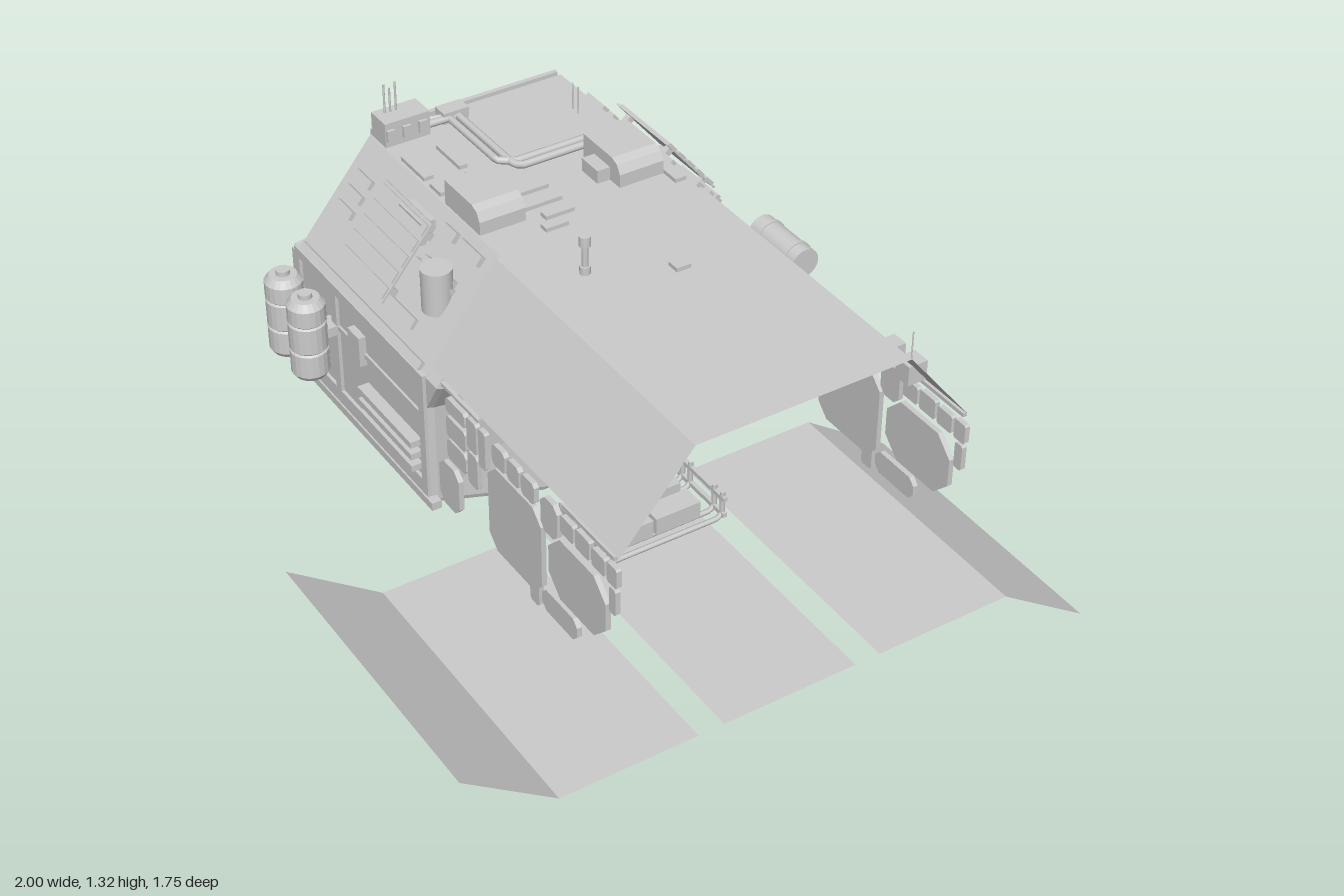
import * as THREE from 'three';

const mat = new THREE.MeshStandardMaterial({ color: 0xcccccc, flatShading: true });
const thin = new THREE.MeshStandardMaterial({ color: 0xcccccc, flatShading: true, side: THREE.DoubleSide });
const smooth = new THREE.MeshStandardMaterial({ color: 0xcccccc });

function add(parent, name, geo, m = mat) {
  const mesh = new THREE.Mesh(geo, m);
  mesh.name = name;
  parent.add(mesh);
  return mesh;
}
// box given by its extents
function box(p, name, x0, x1, y0, y1, z0, z1) {
  const b = add(p, name, new THREE.BoxGeometry(x1 - x0, y1 - y0, z1 - z0));
  b.position.set((x0 + x1) / 2, (y0 + y1) / 2, (z0 + z1) / 2);
  return b;
}
function cyl(p, name, r, h, x, y, z, n = 20) {
  const c = add(p, name, new THREE.CylinderGeometry(r, r, h, n), n > 8 ? smooth : mat);
  c.position.set(x, y, z);
  return c;
}
const shapeOf = pts => new THREE.Shape(pts.map(([x, y]) => new THREE.Vector2(x, y)));
const extrude = (shape, depth) => new THREE.ExtrudeGeometry(shape, { depth, bevelEnabled: false });
// rectangle with cut corners
const cutRect = (x0, x1, y0, y1, c) => [[x0 + c, y0], [x1 - c, y0], [x1, y0 + c], [x1, y1 - c],
  [x1 - c, y1], [x0 + c, y1], [x0, y1 - c], [x0, y0 + c]];
// surface through rings of equal point count
function loft(rings, closed = true) {
  const n = rings[0].length, idx = [];
  for (let r = 0; r < rings.length - 1; r++)
    for (let i = 0; i < (closed ? n : n - 1); i++) {
      const a = r * n + i, b = r * n + (i + 1) % n;
      idx.push(a, b, b + n, a, b + n, a + n);
    }
  const g = new THREE.BufferGeometry();
  g.setAttribute('position', new THREE.Float32BufferAttribute(rings.flat(2), 3));
  g.setIndex(idx);
  const flat = g.toNonIndexed();
  flat.computeVertexNormals();
  return flat;
}
function tube(p, name, pts, r) {
  const path = new THREE.CurvePath();
  const v = pts.map(a => new THREE.Vector3(...a));
  for (let i = 1; i < v.length; i++) path.add(new THREE.LineCurve3(v[i - 1], v[i]));
  return add(p, name, new THREE.TubeGeometry(path, (v.length - 1) * 10, r, 8), smooth);
}

export function createModel() {
  const root = new THREE.Group();
  const group = name => { const g = new THREE.Group(); g.name = name; root.add(g); return g; };

  // Cabin hull with a fan-shaped front bulkhead
  const sec = [[0.2, 0.33], [0.55, 0.44], [0.55, 0.76], [0.55, 0.86], [0.31, 1.15],
    [-0.31, 1.15], [-0.55, 0.86], [-0.55, 0.76], [-0.55, 0.44], [-0.2, 0.33]];
  const ring = (z, s) => sec.map(([x, y], i) => [x * s, 0.67 + (y - 0.67) * s, i === 6 && z > -0.08 ? 0 : z]);
  add(root, 'hull', loft([ring(-0.795, 0), ring(-0.795, 0.97), ring(-0.78, 1), ring(-0.06, 1), ring(-0.055, 0.965), ring(-0.09, 0)]));

  // Folded roof shell ahead of the cabin
  add(root, 'canopy', loft([-1, 1].map(f => [[0.53, 0.885], [0.31, 1.16], [-0.33, 1.16], [-0.53, 0.885]]
    .map(([x, y]) => [x, y, f < 0 ? (y > 1 ? -0.055 : -0.06) : (y > 1 ? 0.875 : 0.855)])), false), thin);

  // Ground plates
  [['leftGroundPlate', [[0.28, 0.2], [0.71, 0.2], [1, 0]]], ['centreGroundPlate', [[-0.22, 0.2], [0.2, 0.2]]],
    ['rightGroundPlate', [[-0.3, 0.2], [-0.72, 0.2], [-1, 0.405]]]].forEach(([name, pts]) =>
    add(root, name, loft([-0.05, 0.875].map(z => pts.map(([x, y]) => [x, y, z])), false), thin));

  // Loose side panels: z0, z1, y0, y1, corner cut
  const panels = [[0.535, 0.805, 0.565, 0.76, 0.055], [0.235, 0.5, 0.5, 0.775, 0.04], [0.5, 0.58, 0.74, 0.85, 0.02],
    [0.5, 0.67, 0.475, 0.545, 0.02], [0.44, 0.485, 0.46, 0.56, 0.008], [-0.03, 0.075, 0.47, 0.615, 0.025],
    [0.405, 0.47, 0.785, 0.85, 0.01], [0.335, 0.395, 0.785, 0.85, 0.01], [0.26, 0.325, 0.785, 0.85, 0.01],
    [0.81, 0.855, 0.79, 0.85, 0.005], [0.82, 0.85, 0.7, 0.78, 0.005], [0.74, 0.8, 0.79, 0.845, 0.005],
    [0.665, 0.73, 0.79, 0.85, 0.005], [0.595, 0.655, 0.79, 0.845, 0.005], [0.19, 0.225, 0.73, 0.85, 0.005],
    [0.13, 0.18, 0.75, 0.85, 0.008], [0.13, 0.18, 0.635, 0.74, 0.008], [0.02, 0.12, 0.8, 0.845, 0.008],
    [0.02, 0.12, 0.72, 0.785, 0.008], [0.02, 0.12, 0.645, 0.71, 0.012]];
  for (const s of [-1, 1]) {
    const g = group(s > 0 ? 'leftSidePanels' : 'rightSidePanels');
    for (const [z0, z1, y0, y1, c] of panels) {
      const m = add(g, 'sidePanel', extrude(shapeOf(cutRect(-z1, -z0, y0, y1, c)), 0.015));
      m.rotation.y = Math.PI / 2;
      m.position.x = s * 0.53 - 0.0075;
    }
    box(g, 'canopyEdgeStrip', s * 0.53 - 0.006, s * 0.53 + 0.006, 0.865, 0.875, -0.05, 0.19);
    box(g, 'canopyEdgeStrip', s * 0.53 - 0.006, s * 0.53 + 0.006, 0.87, 0.882, 0.6, 0.84);
  }

  // Cabin flanks and sloped shoulders, mirrored
  for (const s of [-1, 1]) {
    const g = group(s > 0 ? 'leftFlank' : 'rightFlank');
    g.scale.x = s;
    box(g, 'upperRail', 0.54, 0.56, 0.835, 0.865, -0.795, -0.06);
    box(g, 'lowerRail', 0.54, 0.56, 0.46, 0.505, -0.795, -0.06);
    box(g, 'sill', 0.535, 0.565, 0.435, 0.46, -0.79, -0.03);
    box(g, 'middleRail', 0.54, 0.557, 0.715, 0.73, -0.6, -0.06);
    for (const z of [-0.8, -0.585, -0.09]) box(g, 'post', 0.54, 0.56, 0.5, 0.84, z, z + 0.03);
    box(g, 'latch', 0.54, 0.572, 0.69, 0.785, -0.465, -0.4);

    const slope = new THREE.Group();
    slope.name = 'shoulder';
    slope.position.set(0.31, 1.15, 0);
    slope.rotation.z = Math.atan2(-0.29, 0.24);
    g.add(slope);
    const pad = (t0, t1, z0, z1, h, h0 = -0.005) => box(slope, 'shoulderPad', t0, t1, h0, h, z0, z1);
    // ribbed panel on standoffs
    pad(0.05, 0.305, -0.575, -0.315, 0.042, 0.036);
    for (let i = 0; i < 5; i++) pad(0.06 + i * 0.05, 0.095 + i * 0.05, -0.57, -0.32, 0.048, 0.042);
    for (const z of [-0.55, -0.35]) for (const t of [0.08, 0.26]) pad(t, t + 0.02, z, z + 0.02, 0.04);
    pad(0.03, 0.06, -0.22, -0.11, 0.016);
    pad(0.03, 0.06, -0.31, -0.24, 0.016);
    pad(0.15, 0.165, -0.32, -0.14, 0.025);
    pad(0.13, 0.19, -0.2, -0.15, 0.02);
    pad(0.13, 0.19, -0.3, -0.26, 0.02);
    pad(0.28, 0.31, -0.4, -0.2, 0.012);
    for (const t of [0.09, 0.14, 0.19]) pad(t, t + 0.025, -0.74, -0.65, 0.014);
    pad(0.35, 0.375, -0.77, -0.09, 0.012);
  }

  // Ladder rack on the left side
  const rack = group('sideRack');
  for (const z of [-0.64, -0.735]) box(rack, 'rackUpright', 0.55, 0.58, 0.53, 0.85, z, z + 0.022);
  for (const y of [0.6, 0.67, 0.79]) box(rack, 'rackBar', 0.55, 0.572, y, y + 0.022, -0.75, -0.605);
  box(rack, 'rackCore', 0.55, 0.565, 0.56, 0.82, -0.705, -0.655);

  // Upright canisters on the right side
  for (const z of [-0.72, -0.585]) {
    const prof = [[0, 0.585], [0.045, 0.585], [0.055, 0.6], [0.055, 0.67], [0.05, 0.675], [0.055, 0.68], [0.055, 0.76],
      [0.05, 0.765], [0.055, 0.77], [0.055, 0.82], [0.04, 0.84], [0.02, 0.84], [0.02, 0.855], [0, 0.855]];
    add(root, 'canister', new THREE.LatheGeometry(prof.map(a => new THREE.Vector2(...a)), 20), mat).position.set(-0.635, 0, z);
    box(root, 'canisterClamp', -0.6, -0.54, 0.7, 0.73, z - 0.03, z + 0.03);
  }
  for (const y of [0.53, 0.57, 0.61]) box(root, 'sideStep', -0.585, -0.55, y, y + 0.02, -0.4, -0.1);

  // Roof equipment
  const roof = group('roofEquipment');
  for (const [x0, x1] of [[0.13, 0.27], [-0.305, -0.165]]) {
    const hump = add(roof, 'roofHousing', extrude(shapeOf([[0.18, 1.14], [0.365, 1.14], [0.365, 1.225], [0.22, 1.225],
      [0.195, 1.215], [0.18, 1.19]]), x1 - x0));
    hump.rotation.y = Math.PI / 2;
    hump.position.x = x0;
  }
  box(roof, 'housingFlange', 0.09, 0.14, 1.15, 1.19, -0.31, -0.23);
  for (const d of [0, 0.028])
    tube(roof, 'roofPipe', [[-0.17, 1.165, -0.75 + d], [-0.09 - d + 0.028, 1.165, -0.72], [-0.09 - d + 0.028, 1.165, -0.44 - d + 0.01],
      [-0.05, 1.165, -0.4 - d], [0.2 + d, 1.165, -0.4 - d], [0.215 + d, 1.165, -0.35]], 0.011);
  box(roof, 'pipeJoint', -0.11, -0.03, 1.15, 1.185, -0.765, -0.715);
  box(roof, 'antennaBox', -0.305, -0.165, 1.15, 1.225, -0.775, -0.695);
  for (const x of [-0.29, -0.24, -0.19]) box(roof, 'antennaBoxRib', x - 0.012, x + 0.012, 1.17, 1.205, -0.695, -0.685);
  [[-0.275, 1.315], [-0.258, 1.3], [-0.24, 1.315]].forEach(([x, top]) =>
    cyl(roof, 'antenna', 0.003, top - 1.2, x, (top + 1.2) / 2, -0.75, 6));
  for (const z of [-0.6, -0.57]) cyl(roof, 'antenna', 0.002, 0.09, 0.24, 1.19, z, 6);
  [[-0.3, -0.27, -0.62, -0.49], [-0.19, -0.165, -0.62, -0.49], [-0.3, -0.27, -0.46, -0.4], [-0.19, -0.165, -0.46, -0.4],
    [-0.15, -0.03, -0.32, -0.285], [-0.15, -0.03, -0.25, -0.215], [-0.12, -0.03, -0.18, -0.15], [0.27, 0.305, -0.35, -0.25],
    [0.27, 0.305, -0.23, -0.12], [-0.15, -0.08, -0.13, -0.1], [-0.3, 0.3, -0.795, -0.78], [-0.395, -0.35, -0.46, -0.34]]
    .forEach(([x0, x1, z0, z1]) => box(roof, 'roofPlate', x0, x1, x0 < -0.38 ? 1.06 : 1.14, x0 < -0.38 ? 1.13 : 1.162, z0, z1));
  cyl(roof, 'drum', 0.044, 0.13, -0.44, 1.035, -0.18);

  // Canopy fittings
  const fit = group('canopyFittings');
  cyl(fit, 'sideTank', 0.043, 0.2, 0.425, 1.055, 0.17).rotation.x = Math.PI / 2;
  for (const z of [0.11, 0.23]) cyl(fit, 'tankStrap', 0.046, 0.012, 0.425, 1.055, z).rotation.x = Math.PI / 2;
  cyl(fit, 'mast', 0.009, 0.1, -0.17, 1.2, 0.125, 10);
  cyl(fit, 'mastCap', 0.016, 0.03, -0.17, 1.26, 0.125);
  cyl(fit, 'mastBase', 0.015, 0.025, -0.17, 1.17, 0.125);
  box(fit, 'hatch', 0.03, 0.075, 1.155, 1.172, 0.21, 0.25);
  box(fit, 'canopyBox', 0.45, 0.5, 0.925, 0.98, 0.57, 0.62);
  box(fit, 'canopyBox', 0.45, 0.51, 0.91, 0.97, 0.645, 0.7);
  cyl(fit, 'antenna', 0.002, 0.09, 0.48, 1.01, 0.67, 6);

  // Frame hanging below the bay
  const frame = group('underFrame');
  for (const z of [0.25, 0.21, 0.09, 0.05])
    tube(frame, 'frameHoop', [[-0.205, 0.365, z], [-0.205, 0.29, z], [-0.19, 0.275, z], [0.18, 0.275, z], [0.195, 0.29, z], [0.195, 0.365, z]], 0.008);
  for (const x of [-0.205, 0.195]) for (const y of [0.345, 0.29]) box(frame, 'frameRail', x - 0.007, x + 0.007, y - 0.007, y + 0.007, 0.035, 0.265);
  for (const x of [-0.165, -0.01]) for (const z of [0.06, 0.16]) box(frame, 'frameBlock', x, x + 0.145, 0.285, 0.34, z, z + 0.07);

  // Rear door with triangle and round hatch
  const door = group('rearDoor');
  const rim = shapeOf(cutRect(-0.21, 0.21, 0.42, 1.07, 0.05));
  rim.holes.push(shapeOf(cutRect(-0.175, 0.175, 0.455, 1.035, 0.04)));
  add(door, 'doorRim', extrude(rim, 0.035)).position.z = -0.825;
  add(door, 'doorPanel', extrude(shapeOf(cutRect(-0.16, 0.16, 0.47, 1.02, 0.04)), 0.02)).position.z = -0.81;
  const tri = shapeOf([[-0.13, 0.98], [0, 0.74], [0.13, 0.98]]);
  tri.holes.push(shapeOf([[-0.09, 0.956], [0, 0.79], [0.09, 0.956]]));
  add(door, 'doorTriangle', extrude(tri, 0.02)).position.z = -0.825;
  cyl(door, 'doorDisc', 0.09, 0.02, 0, 0.62, -0.812, 24).rotation.x = Math.PI / 2;
  add(door, 'doorDiscRing', new THREE.TorusGeometry(0.09, 0.01, 8, 28), smooth).position.set(0, 0.62, -0.818);

  // Rear wall braces and step
  for (const s of [-1, 1]) {
    const g = group(s > 0 ? 'leftRearBraces' : 'rightRearBraces');
    g.scale.x = s;
    [[[0.2, 0.86], [0.55, 0.8], [0.55, 0.86], [0.2, 0.92]], [[0.2, 0.7], [0.54, 0.75], [0.54, 0.79], [0.2, 0.76]],
      [[0.2, 0.47], [0.54, 0.45], [0.54, 0.5], [0.2, 0.55]], [[0.25, 1.0], [0.4, 0.98], [0.29, 1.12], [0.25, 1.12]]]
      .forEach(p => add(g, 'rearBrace', extrude(shapeOf(p), 0.025)).position.z = -0.808);
    box(g, 'rearPost', 0.51, 0.56, 0.52, 0.85, -0.81, -0.785);
    box(g, 'rearLocker', 0.26, 0.45, 0.57, 0.68, -0.805, -0.785);
  }
  add(root, 'rearStep', extrude(shapeOf([[-0.21, 0.345], [0.2, 0.345], [0.345, 0.39], [0.345, 0.44], [-0.37, 0.44], [-0.37, 0.39]]), 0.1)).position.z = -0.88;
  box(root, 'stepTread', -0.19, 0.18, 0.43, 0.448, -0.87, -0.8);

  return root;
}
